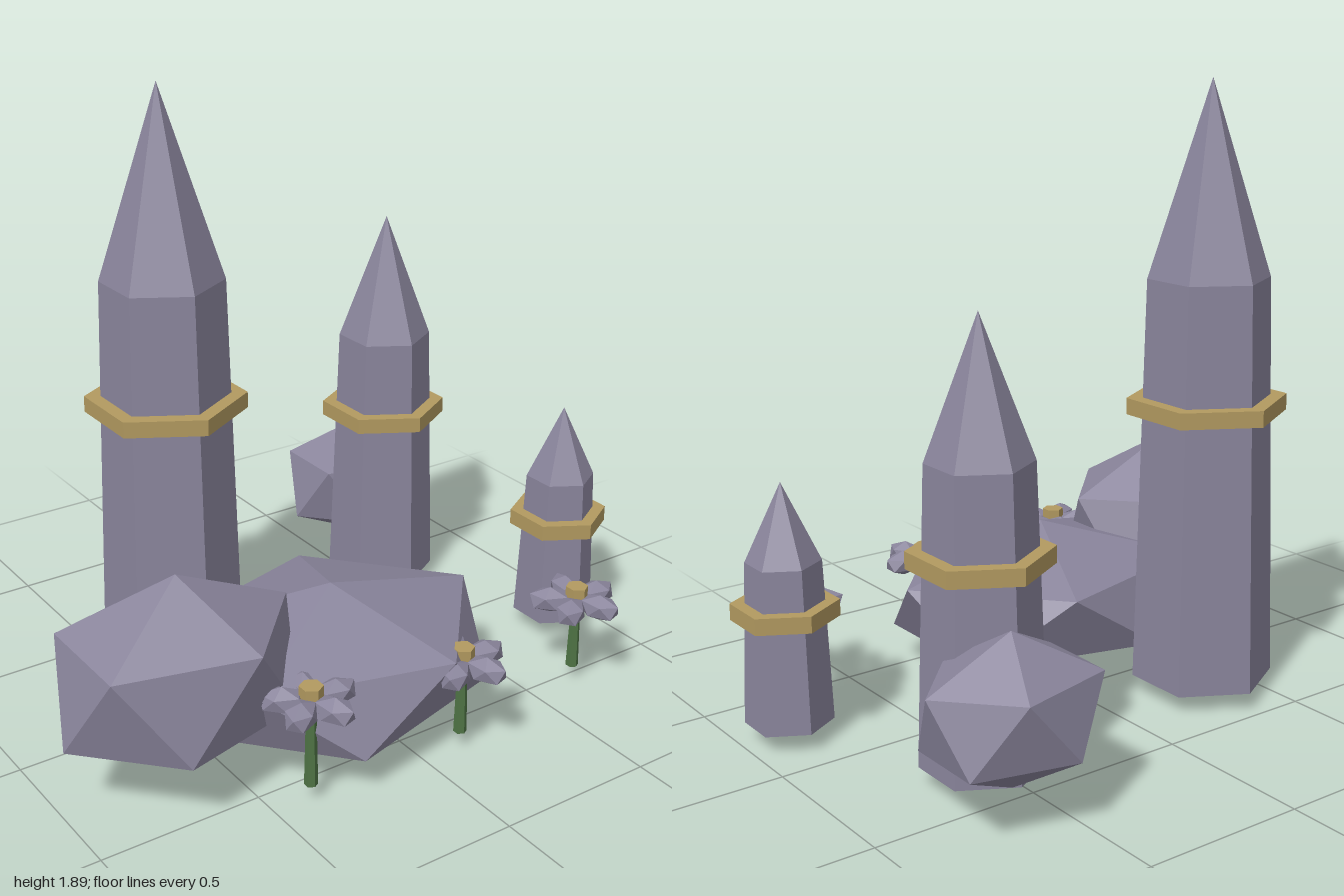
import * as THREE from 'three';

const material = (name, color) => {
  const m = new THREE.MeshStandardMaterial({ color });
  m.name = name;
  return m;
};

// Split the faces so that every facet is flat
function faceted(geometry) {
  const flat = geometry.index ? geometry.toNonIndexed() : geometry;
  flat.computeVertexNormals();
  return flat;
}

// Six-sided column section between two heights, a corner facing the front
function hexSection(bottomRadius, topRadius, y0, y1, openEnded = false) {
  const g = new THREE.CylinderGeometry(topRadius, bottomRadius, y1 - y0, 6, 1, openEnded);
  return faceted(g.translate(0, (y0 + y1) / 2, 0));
}

// Icosahedron standing on one corner, stretched to three radii
function gem(rx, ry, rz) {
  const g = new THREE.IcosahedronGeometry(1, 0);
  g.rotateZ(-Math.atan(2 / (1 + Math.sqrt(5))));
  return faceted(g.scale(rx, ry, rz));
}

function add(parent, name, geometry, mat) {
  const mesh = new THREE.Mesh(geometry, mat);
  mesh.name = name;
  parent.add(mesh);
  return mesh;
}

function addGroup(parent, name, x, y, z) {
  const group = new THREE.Group();
  group.name = name;
  group.position.set(x, y, z);
  parent.add(group);
  return group;
}

export function createModel() {
  const model = new THREE.Group();
  model.name = 'stoneGarden';
  const stone = material('stone', 0x8a859c);
  const gold = material('gold', 0xb29a60);
  const green = material('stemGreen', 0x4f7445);
  const ground = 0.06;

  // Spires: tapered shaft, pointed tip and a gold band
  const spires = [
    { name: 'tallSpire', x: -0.34, z: -0.245, base: 0.22, neck: 0.187, shoulder: 1.31, top: 1.895, band: 0.925, bandR: 0.246 },
    { name: 'middleSpire', x: 0.57, z: -0.365, base: 0.18, neck: 0.151, shoulder: 0.925, top: 1.33, band: 0.66, bandR: 0.205 },
    { name: 'smallSpire', x: 0.86, z: 0.215, base: 0.13, neck: 0.11, shoulder: 0.55, top: 0.785, band: 0.403, bandR: 0.157 },
  ];
  for (const s of spires) {
    const spire = addGroup(model, s.name, s.x, 0, s.z);
    add(spire, 'shaft', hexSection(s.base, s.neck, ground, s.shoulder), stone);
    add(spire, 'tip', hexSection(s.neck, 0, s.shoulder, s.top, true), stone);
    add(spire, 'band', hexSection(s.bandR, s.bandR, s.band - 0.025, s.band + 0.025), gold);
  }

  // Boulders
  const boulders = [
    ['wideBoulder', [-0.1, 0.238, 0.28], [0.57, 0.233, 0.47]],
    ['roundBoulder', [-0.637, 0.368, 0.305], [0.406, 0.303, 0.313]],
    ['backBoulder', [0.625, 0.31, -0.58], [0.296, 0.22, 0.23]],
  ];
  for (const [name, position, radii] of boulders) {
    add(model, name, gem(...radii), stone).position.set(...position);
  }

  // Flowers: stem, five petals and a gold centre
  const flowers = [[-0.384, 0.335, 0.594], [0.13, 0.3, 0.622], [0.66, 0.295, 0.53]];
  const petalShape = gem(0.07, 0.042, 0.047);
  for (const [x, y, z] of flowers) {
    const flower = addGroup(model, 'flower', x, 0, z);
    add(flower, 'stem', hexSection(0.02, 0.014, ground, y), green);
    add(flower, 'flowerCentre', hexSection(0.035, 0.035, y, y + 0.045), gold);
    for (let i = 0; i < 5; i++) {
      const angle = (i * Math.PI * 2) / 5;
      const petal = add(flower, 'petal', petalShape, stone);
      petal.position.set(0.082 * Math.cos(angle), y - 0.003, -0.082 * Math.sin(angle));
      petal.rotation.y = angle;
    }
  }
  return model;
}
